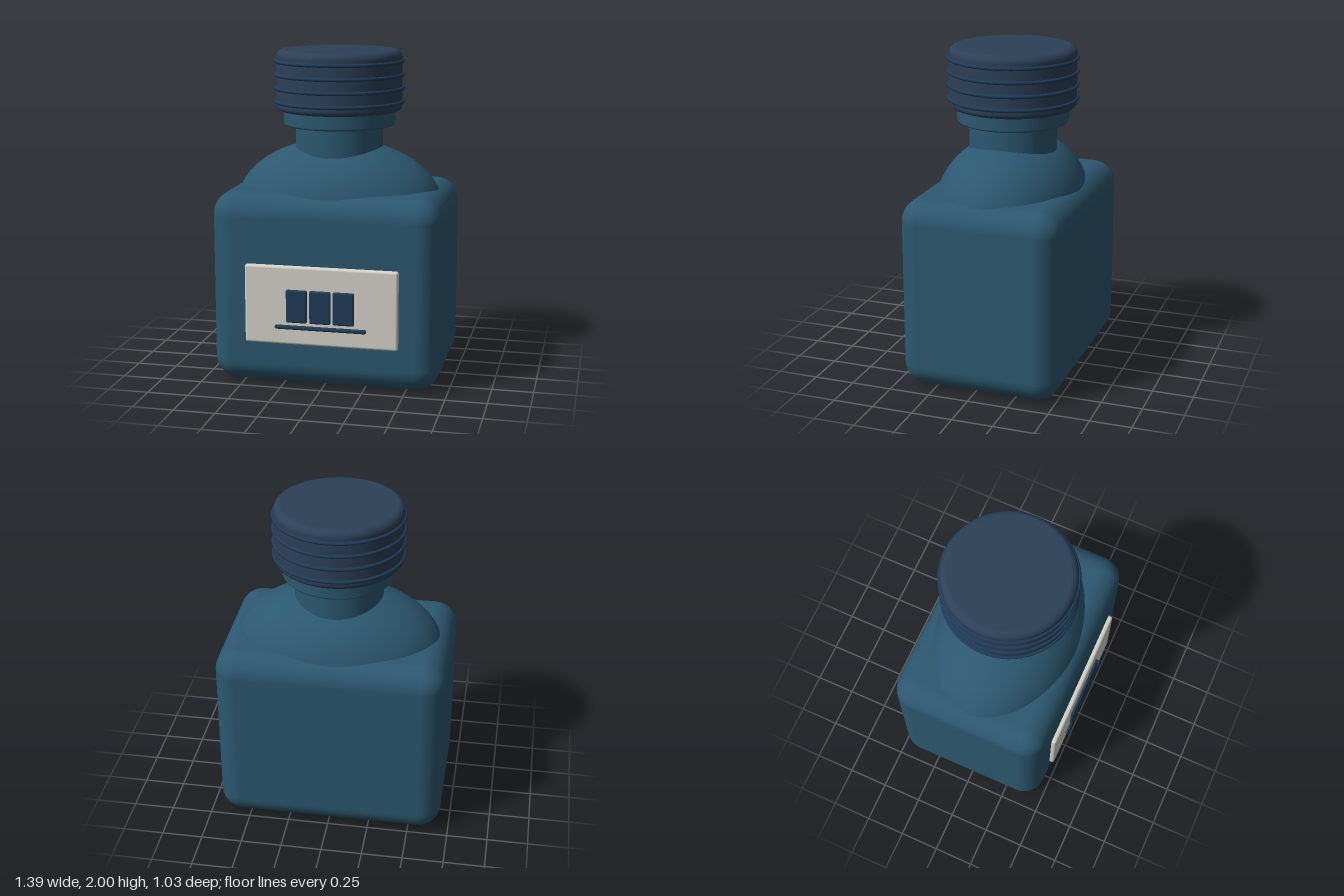
import * as THREE from 'three';
import { RoundedBoxGeometry } from 'three/addons/geometries/RoundedBoxGeometry.js';

const material = (color) => new THREE.MeshStandardMaterial({ color });

// Solid of revolution with rounded top and bottom rims
function roundedDisc(radius, y0, y1, rimBottom, rimTop) {
  const path = [new THREE.Vector2(0, y0)];
  const arc = (cy, rim, start) => {
    for (let i = 0; i <= 6; i++) {
      const a = start + (i / 6) * Math.PI / 2;
      path.push(new THREE.Vector2(radius - rim + Math.cos(a) * rim, cy + Math.sin(a) * rim));
    }
  };
  arc(y0 + rimBottom, rimBottom, -Math.PI / 2);
  arc(y1 - rimTop, rimTop, 0);
  path.push(new THREE.Vector2(0, y1));
  return new THREE.LatheGeometry(path, 64);
}

export function createModel() {
  const model = new THREE.Group();
  model.name = 'bottle';
  const glass = material(0x2c5870);
  const capBlue = material(0x2c4058);
  const paper = material(0xd6d3c9);
  const ink = material(0x1f3b57);

  const add = (name, geometry, mat, x = 0, y = 0, z = 0, parent = model) => {
    const mesh = new THREE.Mesh(geometry, mat);
    mesh.name = name;
    mesh.position.set(x, y, z);
    parent.add(mesh);
    return mesh;
  };

  // Bottle axis sits slightly behind the centre because of the label
  const axisZ = -0.023;

  // Body and domed shoulder
  add('body', new RoundedBoxGeometry(1.39, 1.17, 0.984, 5, 0.14), glass, 0, 0.585, axisZ);
  const shoulder = add('shoulder', new THREE.SphereGeometry(1, 64, 40), glass, 0, 1.04, axisZ);
  shoulder.scale.set(0.643, 0.41, 0.447);

  // Neck and collar
  add('neck', new THREE.CylinderGeometry(0.268, 0.268, 0.34, 64), glass, 0, 1.39, axisZ);
  add('collar', roundedDisc(0.34, 1.54, 1.66, 0.015, 0.015), glass, 0, 0, axisZ);

  // Screw cap with grip rings
  const cap = new THREE.Group();
  cap.name = 'cap';
  cap.position.z = axisZ;
  model.add(cap);
  add('capBody', roundedDisc(0.385, 1.63, 2, 0.03, 0.045), capBlue, 0, 0, 0, cap);
  for (const y of [1.685, 1.767, 1.848, 1.93]) {
    const ring = add('gripRing', new THREE.TorusGeometry(0.388, 0.011, 10, 64), ink, 0, y, 0, cap);
    ring.rotation.x = Math.PI / 2;
  }

  // Label plate with three blocks and an underline
  const label = new THREE.Group();
  label.name = 'label';
  model.add(label);
  add('labelPlate', new RoundedBoxGeometry(0.93, 0.48, 0.05, 3, 0.015), paper, 0, 0.515, 0.473, label);
  for (const x of [-0.144, -0.001, 0.141]) {
    add('labelBlock', new RoundedBoxGeometry(0.128, 0.2, 0.03, 3, 0.01), ink, x, 0.515, 0.5, label);
  }
  add('labelUnderline', new RoundedBoxGeometry(0.556, 0.024, 0.03, 3, 0.01), ink, 0, 0.384, 0.5, label);

  return model;
}
